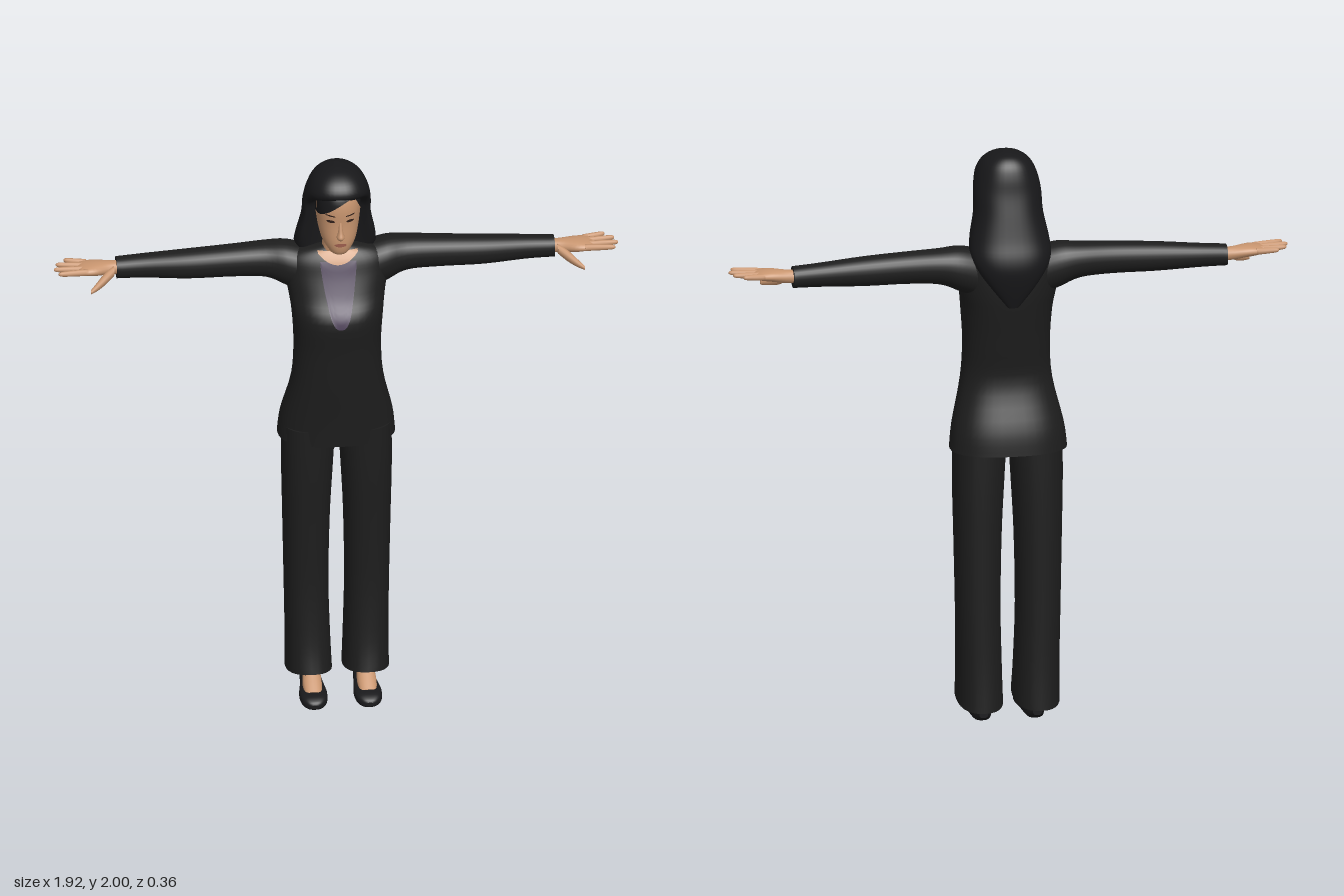
import * as THREE from 'three';

const mat = (name, color, side = THREE.FrontSide) => {
  const m = new THREE.MeshStandardMaterial({ color, side });
  m.name = name;
  return m;
};

// Smooth a short list of cross-sections [t, aLow, aHigh, bLow, bHigh] with a Catmull-Rom spline
function smooth(rows, steps = 4) {
  const at = (i) => rows[Math.max(0, Math.min(rows.length - 1, i))];
  const out = [];
  for (let i = 0; i < rows.length - 1; i++) {
    for (let s = 0; s < steps; s++) {
      const u = s / steps;
      out.push(at(i).map((_, k) => {
        const [p, q, r, w] = [at(i - 1)[k], at(i)[k], at(i + 1)[k], at(i + 2)[k]];
        return q + 0.5 * u * (r - p + u * (2 * p - 5 * q + 4 * r - w + u * (3 * (q - r) + w - p)));
      }));
    }
  }
  out.push(at(rows.length - 1));
  return out;
}

// Closed body through rounded sections along one axis; adjust may move each point
function loft(axis, rows, { n = 2.2, sides = 28, adjust } = {}) {
  const place = {
    x: (t, a, b) => [t, a, b],
    y: (t, a, b) => [a, t, b],
    z: (t, a, b) => [a, b, t],
  }[axis];
  const rings = smooth(rows);
  const flip = (axis === 'y') !== (rings[0][0] > rings[rings.length - 1][0]);
  const pos = [], idx = [];
  const tri = (a, b, c) => (flip ? idx.push(a, c, b) : idx.push(a, b, c));
  const round = (v) => Math.sign(v) * Math.abs(v) ** (2 / n);
  const addRing = ([t, a0, a1, b0, b1]) => {
    const start = pos.length / 3;
    for (let j = 0; j < sides; j++) {
      const q = (j / sides) * Math.PI * 2;
      const p = place(t, (a0 + a1) / 2 + ((a1 - a0) / 2) * round(Math.cos(q)),
        (b0 + b1) / 2 + ((b1 - b0) / 2) * round(Math.sin(q)));
      pos.push(...(adjust ? adjust(...p, (a1 - a0) / 2) : p));
    }
    return start;
  };
  rings.forEach(addRing);
  for (let i = 0; i < rings.length - 1; i++) {
    for (let j = 0; j < sides; j++) {
      const a = i * sides + j, b = i * sides + ((j + 1) % sides);
      tri(a, b, a + sides);
      tri(b, b + sides, a + sides);
    }
  }
  [rings[0], rings[rings.length - 1]].forEach((ring, end) => {
    const s = addRing(ring), centre = pos.length / 3;
    const mid = [0, 0, 0];
    for (let j = 0; j < sides; j++) for (let k = 0; k < 3; k++) mid[k] += pos[(s + j) * 3 + k] / sides;
    pos.push(...mid);
    for (let j = 0; j < sides; j++) {
      const a = s + j, b = s + ((j + 1) % sides);
      end ? tri(a, b, centre) : tri(b, a, centre);
    }
  });
  return toGeometry(pos, idx);
}

function toGeometry(pos, idx) {
  const g = new THREE.BufferGeometry();
  g.setAttribute('position', new THREE.Float32BufferAttribute(pos, 3));
  g.setIndex(idx);
  g.computeVertexNormals();
  return g;
}

// Thin panel lying on the front of an upright body, between two edge curves
function panel(rows, n, x0, x1, low, high, lift, nu = 20, nv = 12) {
  const rings = smooth(rows).sort((a, b) => a[0] - b[0]);
  const frontZ = (x, y) => {
    let i = 0;
    while (i < rings.length - 2 && rings[i + 1][0] < y) i++;
    const u = THREE.MathUtils.clamp((y - rings[i][0]) / (rings[i + 1][0] - rings[i][0]), 0, 1);
    const [, a0, a1, b0, b1] = rings[i].map((v, k) => v + (rings[i + 1][k] - v) * u);
    const f = Math.min(1, Math.abs((x - (a0 + a1) / 2) / ((a1 - a0) / 2)));
    return (b0 + b1) / 2 + ((b1 - b0) / 2) * (1 - f ** n) ** (1 / n);
  };
  const pos = [], idx = [];
  for (let i = 0; i <= nu; i++) {
    const x = x0 + ((x1 - x0) * i) / nu;
    for (let j = 0; j <= nv; j++) {
      const y = low(x) + ((high(x) - low(x)) * j) / nv;
      pos.push(x, y, frontZ(x, y) + lift);
      if (i < nu && j < nv) {
        const a = i * (nv + 1) + j, b = a + nv + 1;
        idx.push(a, b, a + 1, b, b + 1, a + 1);
      }
    }
  }
  return toGeometry(pos, idx);
}

function mirrored(g) {
  const m = g.clone().scale(-1, 1, 1);
  m.setIndex(Array.from(g.index.array).reverse());
  m.computeVertexNormals();
  return m;
}

const sym = (rows) => rows.map(([t, w, z0, z1]) => [t, -w, w, z0, z1]);

export function createModel() {
  const model = new THREE.Group();
  model.name = 'woman';
  const skin = mat('skin', 0xc8956f, THREE.DoubleSide);
  const suit = mat('suit black', 0x1d1d1d);
  const hairMat = mat('hair black', 0x18181a, THREE.DoubleSide);
  const shirt = mat('shirt purple', 0x4d4058, THREE.DoubleSide);
  const shoeMat = mat('shoe black', 0x1a1a1c);
  const dark = mat('eye brown', 0x33221c, THREE.DoubleSide);
  const lip = mat('lip rose', 0xa0604f, THREE.DoubleSide);
  const add = (name, geometry, material) => {
    const m = new THREE.Mesh(geometry, material);
    m.name = name;
    model.add(m);
  };
  const pair = (name, geometry, material) => {
    add(`${name}Left`, geometry, material);
    add(`${name}Right`, mirrored(geometry), material);
  };

  // Jacket body
  const torso = sym([[0.965, 0.2, -0.17, 0.095], [1.05, 0.19, -0.157, 0.1], [1.2, 0.156, -0.107, 0.113],
    [1.33, 0.148, -0.12, 0.122], [1.45, 0.155, -0.138, 0.131], [1.52, 0.165, -0.145, 0.092],
    [1.59, 0.178, -0.145, 0.06], [1.64, 0.178, -0.138, 0.042], [1.67, 0.14, -0.12, 0.025], [1.69, 0.06, -0.085, 0.01]]);
  add('jacket', loft('y', torso, { n: 2.4, sides: 40 }), suit);
  // Shirt front and bare neckline
  add('shirtFront', panel(torso, 2.4, -0.062, 0.062,
    (x) => 1.435 + 0.205 * Math.abs(x / 0.062) ** 2.6, () => 1.65, 0.005), shirt);
  add('neckline', panel(torso, 2.4, -0.068, 0.068,
    (x) => 1.64 + 0.035 * (x / 0.068) ** 2, () => 1.682, 0.008), skin);

  // Sleeves
  pair('sleeve', loft('x', [[0.1, 1.5, 1.67, -0.125, 0.03], [0.17, 1.53, 1.685, -0.13, 0.02],
    [0.24, 1.56, 1.682, -0.125, 0], [0.35, 1.567, 1.676, -0.115, -0.005], [0.5, 1.567, 1.667, -0.11, -0.01],
    [0.65, 1.574, 1.655, -0.108, -0.025], [0.745, 1.575, 1.648, -0.105, -0.03]]), suit);

  // Hands: palm, four fingers and thumb
  pair('palm', loft('x', [[0.72, 1.59, 1.635, -0.09, -0.045], [0.77, 1.593, 1.637, -0.093, -0.035],
    [0.82, 1.6, 1.64, -0.1, -0.012], [0.86, 1.608, 1.636, -0.1, -0.008], [0.875, 1.614, 1.63, -0.09, -0.018]],
  { sides: 16 }), skin);
  [[-0.09, -0.103, 0.92], [-0.068, -0.073, 0.95], [-0.043, -0.038, 0.96], [-0.02, -0.003, 0.947]].forEach(([z0, z1, tip], i) => {
    const row = (u, r) => {
      const z = z0 + (z1 - z0) * u, y = 1.623 + 0.006 * u;
      return [0.845 + (tip - 0.845) * u, y - r, y + r, z - r, z + r];
    };
    pair(`finger${i + 1}`, loft('x', [row(0, 0.012), row(0.5, 0.0105), row(0.9, 0.008), row(1, 0.003)], { n: 2, sides: 10 }), skin);
  });
  pair('thumb', loft('x', [[0.755, 1.595, 1.63, -0.06, -0.025], [0.785, 1.575, 1.615, -0.045, -0.002],
    [0.815, 1.565, 1.594, -0.012, 0.018], [0.84, 1.562, 1.576, 0.016, 0.032]], { n: 2, sides: 12 }), skin);

  // Trousers with a hem that rises over the instep
  pair('trouserLeg', loft('y', [[0.078, 0.018, 0.176, -0.14, 0.106], [0.2, 0.023, 0.175, -0.134, 0.085],
    [0.4, 0.028, 0.178, -0.132, 0.07], [0.65, 0.024, 0.183, -0.132, 0.075],
    [0.85, 0.014, 0.187, -0.132, 0.083], [1.02, 0.004, 0.186, -0.13, 0.085]], {
    n: 2.4,
    adjust: (x, y, z) => [x, y + 0.2 * z * Math.max(0, 1 - (y - 0.078) / 0.15), z],
  }), suit);

  // Feet and pumps
  pair('foot', loft('z', [[-0.06, 0.07, 0.115, 0.03, 0.11], [0.03, 0.062, 0.122, 0.02, 0.105],
    [0.08, 0.06, 0.126, 0.02, 0.078], [0.13, 0.066, 0.12, 0.02, 0.047]], { sides: 20 }), skin);
  pair('shoe', loft('z', [[-0.09, 0.077, 0.108, 0.02, 0.05], [-0.05, 0.06, 0.122, 0, 0.055],
    [0.03, 0.052, 0.13, 0, 0.05], [0.1, 0.045, 0.14, 0, 0.046], [0.15, 0.05, 0.136, 0, 0.044],
    [0.175, 0.066, 0.12, 0.003, 0.034], [0.183, 0.082, 0.104, 0.01, 0.024]], { n: 2.8 }), shoeMat);

  // Neck and head
  add('neck', loft('y', sym([[1.62, 0.062, -0.08, 0.03], [1.68, 0.05, -0.07, 0.03], [1.78, 0.046, -0.06, 0.04]])), skin);
  const head = sym([[1.702, 0.02, 0.04, 0.088], [1.715, 0.036, 0.01, 0.104], [1.755, 0.06, -0.05, 0.112],
    [1.82, 0.073, -0.08, 0.11], [1.88, 0.077, -0.085, 0.112], [1.93, 0.07, -0.08, 0.098], [1.97, 0.04, -0.05, 0.05]]);
  add('head', loft('y', head, { sides: 32 }), skin);
  add('nose', loft('y', [[1.768, -0.006, 0.006, 0.095, 0.118], [1.78, -0.014, 0.014, 0.09, 0.131],
    [1.8, -0.009, 0.009, 0.09, 0.124], [1.835, -0.006, 0.006, 0.09, 0.112]], { n: 2, sides: 12 }), skin);
  // Eyes, brows and lips
  const spot = (cx, cy, w, h, slant = 0) => {
    const arc = (x) => h * Math.sqrt(Math.max(0, 1 - ((x - cx) / w) ** 2));
    return panel(head, 2.2, cx - w, cx + w, (x) => cy - arc(x) + slant * (x - cx),
      (x) => cy + arc(x) + slant * (x - cx), 0.003, 10, 2);
  };
  pair('eye', spot(0.033, 1.84, 0.014, 0.005), dark);
  pair('brow', spot(0.034, 1.862, 0.018, 0.0025, 0.1), dark);
  add('lips', spot(0, 1.75, 0.021, 0.007), lip);

  // Long hair, hollowed at the front around face and neck
  add('hair', loft('y', sym([[2, 0.012, -0.03, 0.015], [1.99, 0.05, -0.065, 0.06], [1.965, 0.083, -0.09, 0.098],
    [1.925, 0.104, -0.105, 0.115], [1.87, 0.115, -0.116, 0.085], [1.8, 0.118, -0.135, 0.06],
    [1.72, 0.134, -0.157, 0.04], [1.66, 0.138, -0.176, 0.005], [1.61, 0.115, -0.18, -0.05],
    [1.55, 0.07, -0.168, -0.11], [1.485, 0.018, -0.148, -0.132]]), {
    n: 2.3,
    sides: 40,
    adjust: (x, y, z, w) => {
      const k = THREE.MathUtils.smoothstep(1.925 - y, 0, 0.08) * THREE.MathUtils.smoothstep(y, 1.6, 0.08 + 1.6);
      return [x, y, z > -0.03 ? z - k * (z + 0.03) * Math.max(0, 1 - (x / w) ** 4) : z];
    },
  }), hairMat);
  // Side-parted fringe sweeping across the forehead
  add('fringe', panel(head, 2.2, -0.077, 0.077,
    (x) => (x < 0.045 ? 1.922 - 0.075 * ((0.045 - x) / 0.122) ** 1.4 : 1.922 - 0.07 * ((x - 0.045) / 0.032) ** 1.5),
    () => 1.955, 0.009, 30), hairMat);

  return model;
}
